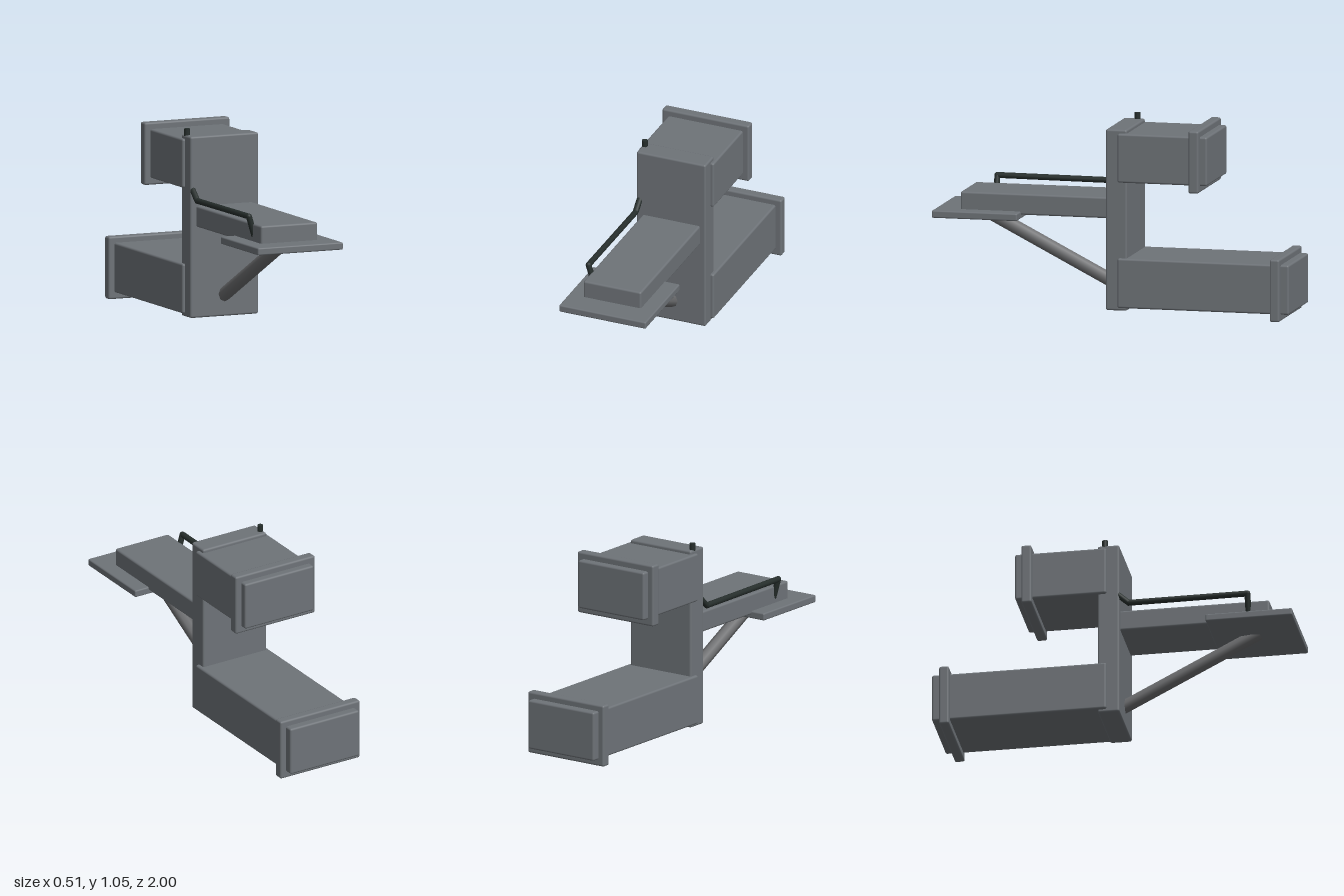
import * as THREE from 'three';
import { RoundedBoxGeometry } from 'three/addons/geometries/RoundedBoxGeometry.js';

export function createModel() {
  const model = new THREE.Group();
  model.name = 'steppedFrame';

  const material = (name, color) => {
    const m = new THREE.MeshStandardMaterial({ color });
    m.name = name;
    return m;
  };
  const steel = material('steel grey', 0x6e7378);
  const strutGrey = material('strut grey', 0x6c6d6f);
  const pipeDark = material('dark pipe', 0x262e2c);

  // Box with softened edges, given by its low and high limits on each axis
  const block = (name, [x0, x1], [y0, y1], [z0, z1], bevel = 0.011) => {
    const geometry = new RoundedBoxGeometry(x1 - x0, y1 - y0, z1 - z0, 2, bevel);
    const mesh = new THREE.Mesh(geometry, steel);
    mesh.position.set((x0 + x1) / 2, (y0 + y1) / 2, (z0 + z1) / 2);
    mesh.name = name;
    model.add(mesh);
  };

  // Round bar between two points
  const bar = (name, a, b, radius, sides, mat, parent) => {
    const from = new THREE.Vector3(...a), to = new THREE.Vector3(...b);
    const dir = to.clone().sub(from);
    const mesh = new THREE.Mesh(new THREE.CylinderGeometry(radius, radius, dir.length(), sides), mat);
    mesh.position.copy(from).add(to).multiplyScalar(0.5);
    mesh.quaternion.setFromUnitVectors(new THREE.Vector3(0, 1, 0), dir.normalize());
    mesh.name = name;
    parent.add(mesh);
  };

  // Upright post
  block('post', [-0.207, 0.203], [0.02, 1.02], [-0.085, 0.035]);

  // Rear beams, each with a collar near the end
  block('upperBeam', [-0.223, 0.222], [0.73, 1.0], [-0.54, -0.035]);
  block('upperCollar', [-0.257, 0.257], [0.692, 1.036], [-0.5, -0.443]);
  block('lowerBeam', [-0.223, 0.222], [0.037, 0.311], [-1.0, -0.035]);
  block('lowerCollar', [-0.257, 0.257], [0, 0.345], [-0.955, -0.9]);

  // Front arm and the plate under its end
  block('frontArm', [-0.172, 0.17], [0.522, 0.638], [-0.01, 0.86]);
  block('frontPlate', [-0.257, 0.257], [0.5, 0.541], [0.52, 1.0], 0.008);

  // Diagonal brace from post to plate
  bar('brace', [0, 0.12, -0.01], [0, 0.52, 0.774], 0.038, 8, strutGrey, model);

  // Bent pipe running through the post and along the arm
  const pipe = new THREE.Group();
  pipe.name = 'pipe';
  model.add(pipe);
  const radius = 0.0165;
  const path = [
    [-0.19, 1.055, -0.046], [-0.19, 0.79, -0.046], [-0.19, 0.674, 0.085],
    [-0.19, 0.677, 0.742], [-0.155, 0.56, 0.742],
  ];
  for (let i = 0; i < path.length - 1; i++) {
    bar('pipeLength', path[i], path[i + 1], radius, 10, pipeDark, pipe);
    if (i > 0) {
      const bend = new THREE.Mesh(new THREE.SphereGeometry(radius, 10, 8), pipeDark);
      bend.position.set(...path[i]);
      bend.name = 'pipeBend';
      pipe.add(bend);
    }
  }

  return model;
}
